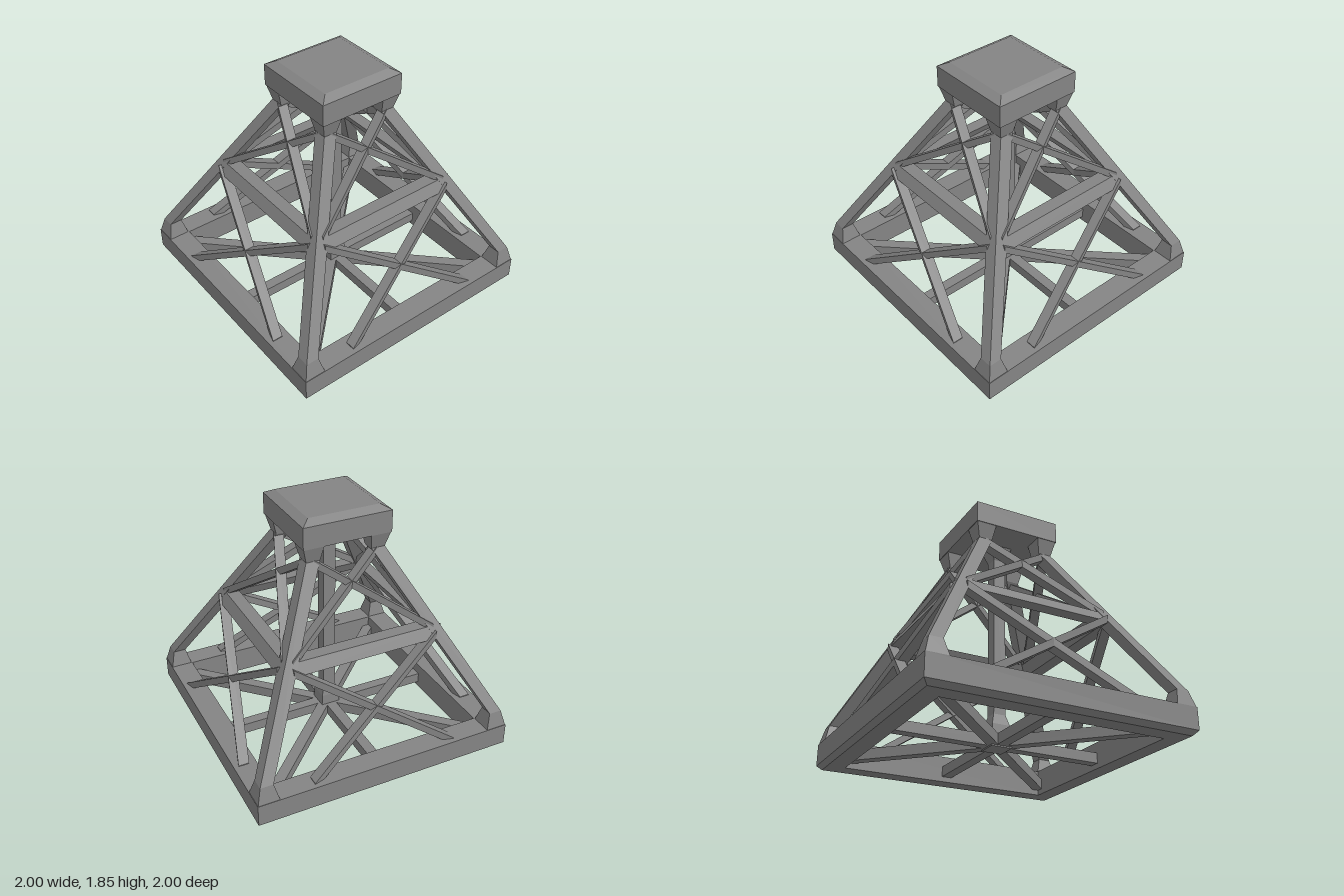
import * as THREE from 'three';

const steel = new THREE.MeshStandardMaterial({ color: 0x848484 });
steel.name = 'steel grey';

// Skin a list of equal-length point loops into a hard-edged solid
function loft(sections, closed = false) {
  const pos = [];
  const tri = (a, b, c) => pos.push(...a, ...b, ...c);
  const m = sections.length, n = sections[0].length;
  for (let s = 0; s < (closed ? m : m - 1); s++) {
    const A = sections[s], B = sections[(s + 1) % m];
    for (let i = 0; i < n; i++) {
      const j = (i + 1) % n;
      tri(A[i], A[j], B[j]);
      tri(A[i], B[j], B[i]);
    }
  }
  if (!closed) {
    const A = sections[0], B = sections[m - 1];
    for (let i = 1; i < n - 1; i++) {
      tri(A[0], A[i + 1], A[i]);
      tri(B[0], B[i], B[i + 1]);
    }
  }
  // Turn every face outward
  let volume = 0;
  const a = new THREE.Vector3(), b = new THREE.Vector3(), c = new THREE.Vector3();
  for (let i = 0; i < pos.length; i += 9) {
    a.fromArray(pos, i); b.fromArray(pos, i + 3); c.fromArray(pos, i + 6);
    volume += a.dot(b.cross(c));
  }
  if (volume < 0) {
    for (let i = 0; i < pos.length; i += 9) {
      for (let k = 0; k < 3; k++) [pos[i + 3 + k], pos[i + 6 + k]] = [pos[i + 6 + k], pos[i + 3 + k]];
    }
  }
  const g = new THREE.BufferGeometry();
  g.setAttribute('position', new THREE.Float32BufferAttribute(pos, 3));
  g.computeVertexNormals();
  return g;
}

// Horizontal rectangle from x0..x1 and z0..z1 at height y
const rect = (y, x0, x1, z0 = x0, z1 = x1) => [[x0, y, z0], [x1, y, z0], [x1, y, z1], [x0, y, z1]];

// Stack of squares, each given as [y, min, max]
const stack = (rows) => loft(rows.map(([y, lo, hi]) => rect(y, lo, hi)));

// Upright-cut bar between two points, extended a little at each end
function brace(from, to, extend) {
  const p = new THREE.Vector3(...from), q = new THREE.Vector3(...to);
  const ends = [-extend, 1 + extend].map((t) => p.clone().lerp(q, t));
  return loft(ends.map(({ x, y, z }) => [
    [x, y - 0.03, z - 0.04], [x, y + 0.03, z - 0.04],
    [x, y + 0.03, z + 0.04], [x, y - 0.03, z + 0.04],
  ]));
}

export function createModel() {
  const model = new THREE.Group();
  model.name = 'latticeTower';
  const add = (name, geometry, parent = model) => {
    const mesh = new THREE.Mesh(geometry, steel);
    mesh.name = name;
    parent.add(mesh);
    return mesh;
  };

  // Square base ring with a chamfered lower edge
  const profile = [[1, 0.2], [0.83, 0.2], [0.83, 0], [0.965, 0], [1, 0.035]];
  const corners = [[1, 1], [-1, 1], [-1, -1], [1, -1]];
  add('baseRing', loft(corners.map(([sx, sz]) => profile.map(([r, y]) => [r * sx, y, r * sz])), true));

  // Cap block with a bevelled top
  add('capBlock', stack([[1.65, -0.34, 0.34], [1.815, -0.34, 0.34], [1.85, -0.275, 0.275]]));

  // Central post, flared at both ends
  add('centralPost', stack([
    [0.03, -0.08, 0.08], [0.2, -0.07, 0.07], [0.28, -0.048, 0.048],
    [1.54, -0.048, 0.048], [1.65, -0.085, 0.085],
  ]));

  // Geometry shared by the four sides
  const leg = stack([
    [0.195, 0.835, 0.998], [0.32, 0.868, 0.965], [1.535, 0.2, 0.305], [1.65, 0.18, 0.335],
  ]);
  const crossBeam = loft([-0.57, 0.57].map((x) => [
    [x, 0.89, 0.653], [x, 0.975, 0.607], [x, 0.975, 0.507], [x, 0.89, 0.553],
  ]));
  const braces = [];
  for (const s of [-1, 1]) {
    braces.push(['lowerBrace', brace([s * 0.525, 0.2, 0.915], [-s * 0.525, 0.89, 0.62], 0.035)]);
    braces.push(['upperBrace', brace([s * 0.53, 0.975, 0.565], [-s * 0.24, 1.51, 0.27], 0.03)]);
  }
  const floorArm = (length) => new THREE.BoxGeometry(0.08, 0.08, length).translate(0, 0.08, length / 2);
  const straightArm = floorArm(0.84), diagonalArm = floorArm(1.2);

  // Repeat each side by quarter turns
  for (let i = 0; i < 4; i++) {
    const side = new THREE.Group();
    side.name = 'side' + (i + 1);
    side.rotation.y = (i * Math.PI) / 2;
    model.add(side);
    add('leg', leg, side);
    add('crossBeam', crossBeam, side);
    for (const [name, geometry] of braces) add(name, geometry, side);
    add('floorArm', straightArm, side);
    add('diagonalFloorArm', diagonalArm, side).rotation.y = Math.PI / 4;
  }
  return model;
}
